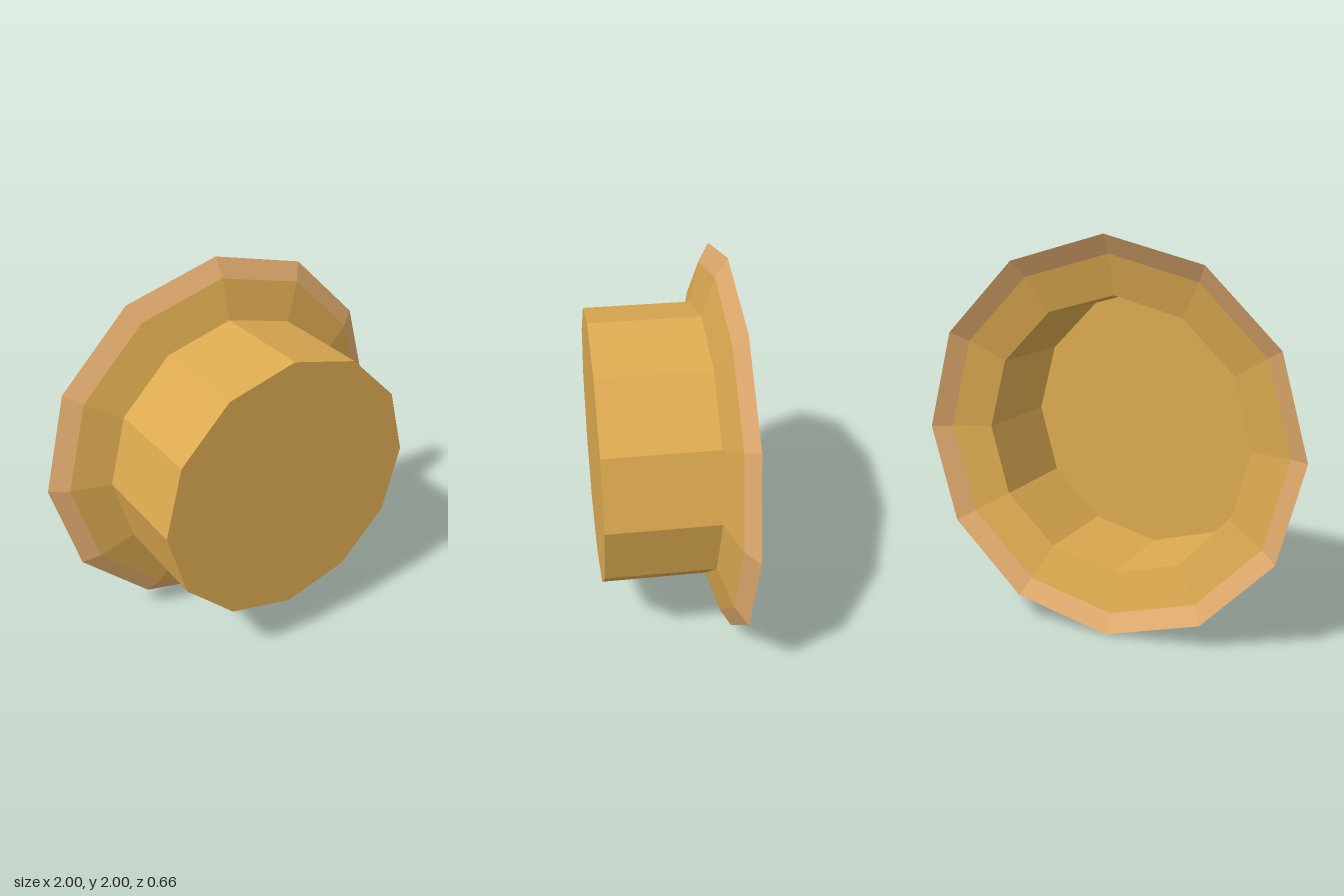
import * as THREE from 'three';

const SIDES = 12;

export function createModel() {
  const model = new THREE.Group();
  model.name = 'flangedCup';

  const make = (name, color) => {
    const m = new THREE.MeshStandardMaterial({ color, flatShading: true, side: THREE.DoubleSide });
    m.name = name;
    return m;
  };
  const gold = make('gold', 0xdcaa50);
  const copper = make('copper', 0xe0aa6e);

  const add = (name, geometry, material, z) => {
    const mesh = new THREE.Mesh(geometry, material);
    mesh.name = name;
    mesh.position.set(0, 1, z);
    model.add(mesh);
  };

  // Open twelve-sided band along z, from its front ring to its back ring
  const band = (name, rFront, zFront, rBack, zBack, material) => {
    const g = new THREE.CylinderGeometry(rFront, rBack, zFront - zBack, SIDES, 1, true);
    g.rotateX(Math.PI / 2);
    add(name, g, material, (zFront + zBack) / 2);
  };

  // Closed front of the cup
  add('frontDisc', new THREE.CircleGeometry(0.707, SIDES), gold, 0.33);
  // Straight wall, then the flare, then the outer rim
  band('wall', 0.707, 0.33, 0.707, -0.217, gold);
  band('flare', 0.707, -0.217, 0.907, -0.275, gold);
  band('rim', 0.907, -0.275, 1, -0.332, copper);

  return model;
}
